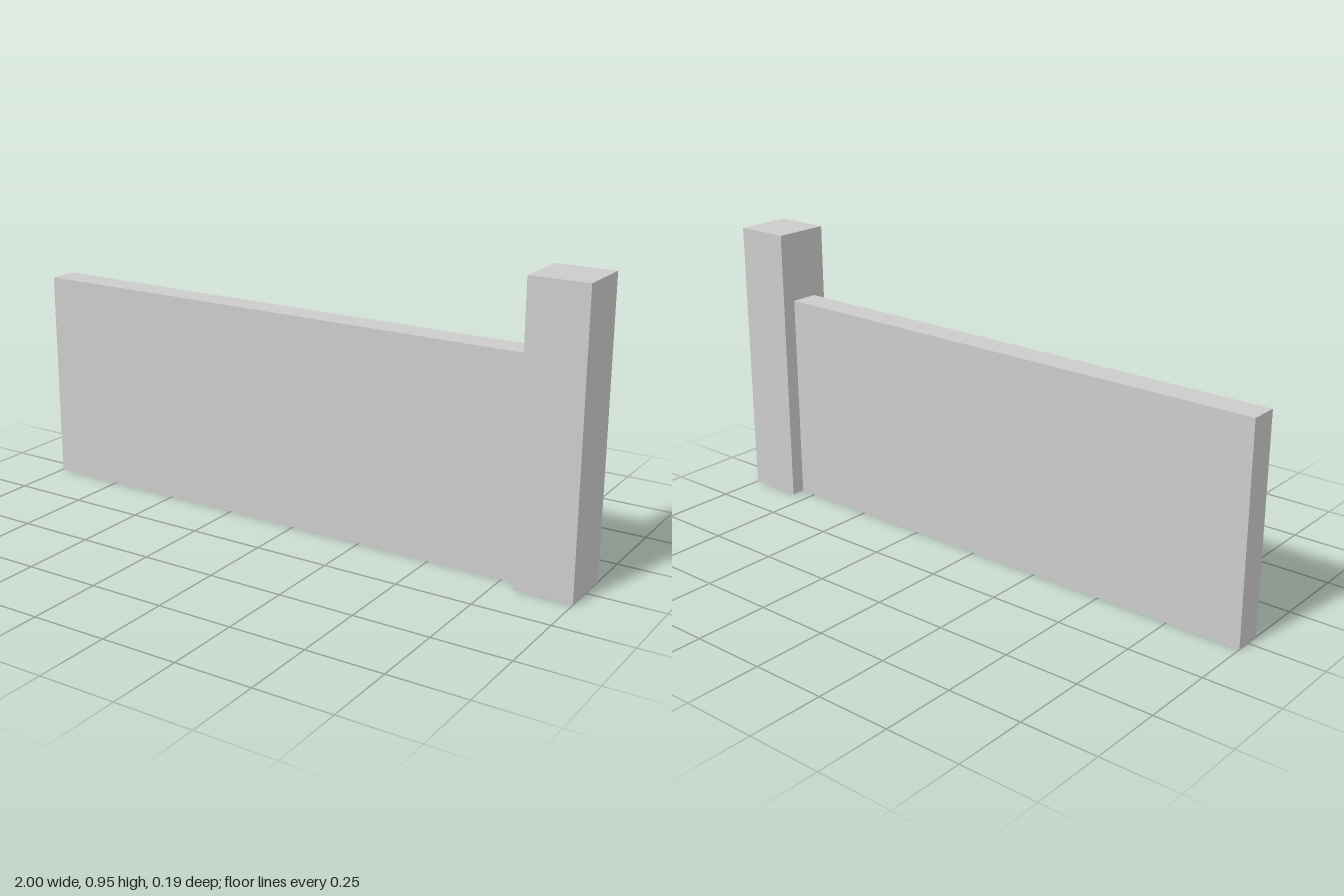
import * as THREE from 'three';

export function createModel() {
  const model = new THREE.Group();
  model.name = 'wallWithEndPost';
  const material = new THREE.MeshStandardMaterial({ color: 0xcccccc, flatShading: true });

  // Box standing on the ground, spanning x0 to x1 and centred on z
  const addBlock = (name, x0, x1, height, depth) => {
    const mesh = new THREE.Mesh(new THREE.BoxGeometry(x1 - x0, height, depth), material);
    mesh.name = name;
    mesh.position.set((x0 + x1) / 2, height / 2, 0);
    model.add(mesh);
  };

  const postWidth = 0.19;
  addBlock('wallPanel', -1, 1 - postWidth, 0.714, postWidth / 2);
  addBlock('endPost', 1 - postWidth, 1, 0.952, postWidth);

  return model;
}
